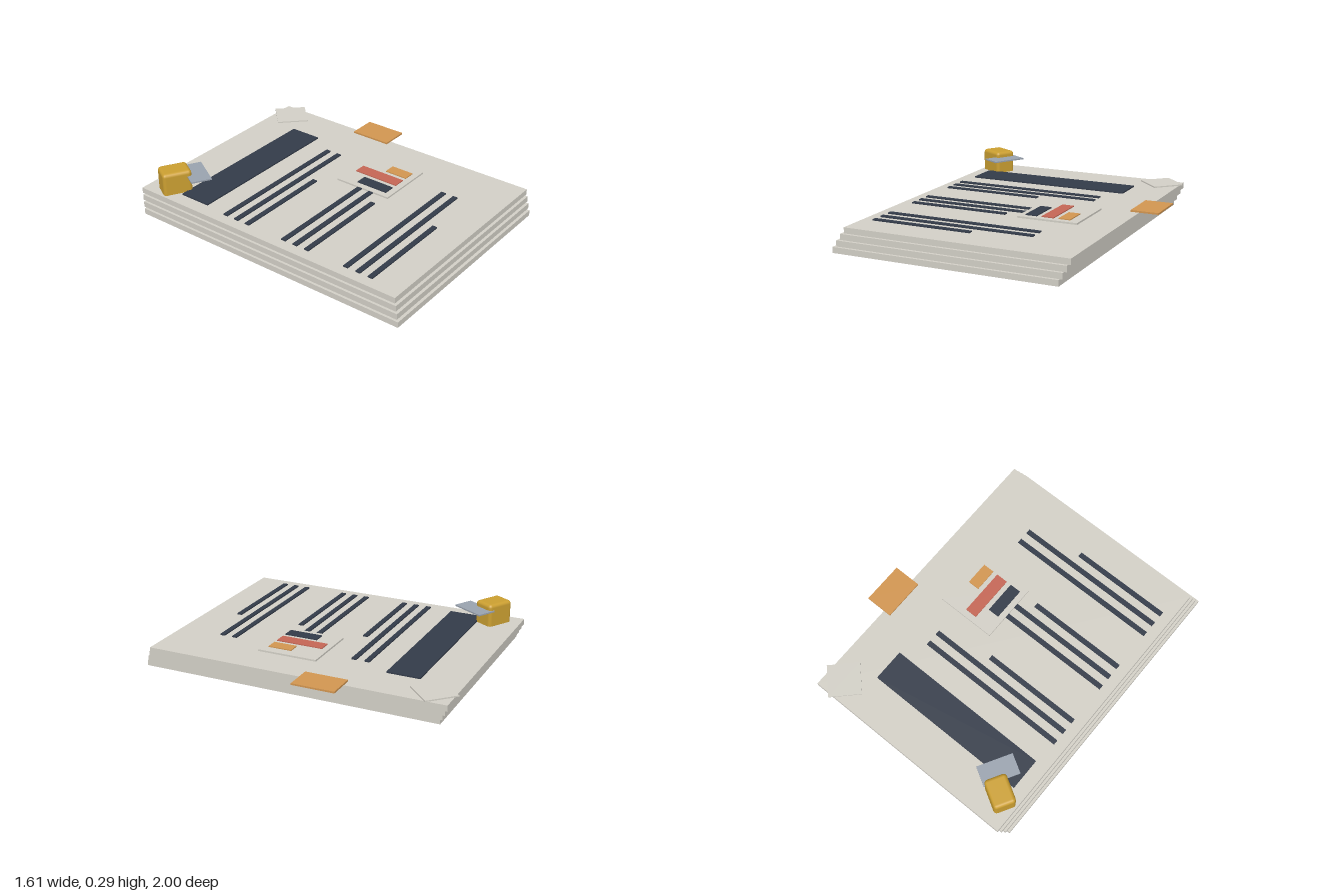
import * as THREE from 'three';
import { RoundedBoxGeometry } from 'three/addons/geometries/RoundedBoxGeometry.js';

const material = (name, color) => {
  const m = new THREE.MeshStandardMaterial({ color });
  m.name = name;
  return m;
};

export function createModel() {
  const group = new THREE.Group();
  group.name = 'documentStack';
  const paper = material('paper', 0xd2cfc6);
  const ink = material('navyInk', 0x333b49);
  const red = material('red', 0xc46655);
  const orange = material('orange', 0xd19550);
  const gold = material('gold', 0xcb9f31);
  const steel = material('steel', 0x99a2ae);

  const add = (name, geometry, mat, x, y, z, turn = 0) => {
    const mesh = new THREE.Mesh(geometry, mat);
    mesh.name = name;
    mesh.position.set(x, y, z);
    mesh.rotation.y = turn;
    group.add(mesh);
  };
  // Flat slab given by its extents
  const slab = (name, mat, x0, x1, y0, y1, z0, z1) =>
    add(name, new THREE.BoxGeometry(x1 - x0, y1 - y0, z1 - z0), mat,
      (x0 + x1) / 2, (y0 + y1) / 2, (z0 + z1) / 2);

  // Four sheaves, each shifted a little to the back and left
  const step = 0.0365;
  for (let i = 0; i < 4; i++) {
    add('sheaf', new THREE.BoxGeometry(1.435, step, 1.92), paper,
      -0.0875 + 0.0155 * i, step * (i + 0.5), 0.04 - 0.0185 * i);
  }
  const top = step * 4;

  // Heading block and three paragraphs
  slab('heading', ink, -0.67, 0.415, top, top + 0.009, -0.715, -0.505);
  for (const z of [-0.34, 0.11, 0.56]) {
    [0.32, 0.32, -0.04].forEach((end, i) => {
      const mid = z + 0.085 * i;
      slab('textLine', ink, -0.69, end, top, top + 0.008, mid - 0.016, mid + 0.016);
    });
  }

  // Bar chart on its panel
  slab('chartPanel', paper, 0.055, 0.445, top, 0.157, -0.065, 0.322);
  slab('chartBar', ink, 0.093, 0.167, 0.157, 0.163, 0.065, 0.282);
  slab('chartBar', red, 0.2, 0.278, 0.157, 0.163, -0.025, 0.282);
  slab('chartBar', orange, 0.31, 0.385, 0.157, 0.163, 0.13, 0.282);

  // Bookmark tab and folded corner
  slab('bookmarkTab', orange, 0.625, 0.805, 0.149, 0.16, -0.358, -0.087);
  add('foldedCorner', new THREE.BoxGeometry(0.206, 0.008, 0.206), paper, 0.56, 0.159, -0.855, Math.PI / 4);

  // Clip with its lever plate
  const turn = -Math.PI / 6;
  add('clipBody', new RoundedBoxGeometry(0.185, 0.175, 0.14, 2, 0.022), gold, -0.637, 0.2025, -0.803, turn);
  add('clipLever', new THREE.BoxGeometry(0.13, 0.009, 0.23), steel, -0.545, 0.249, -0.708, turn);

  return group;
}
